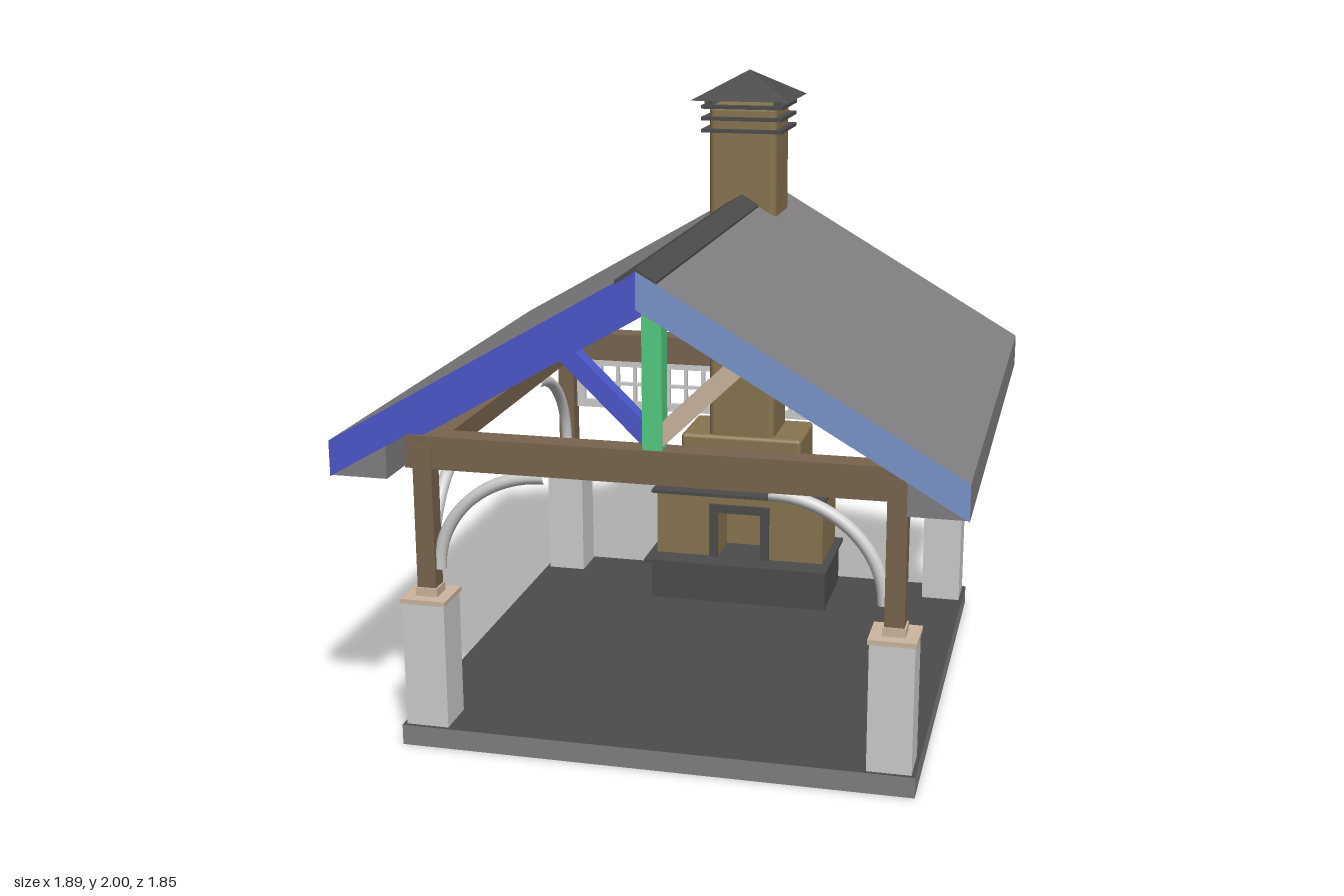
import * as THREE from 'three';
import { RoundedBoxGeometry } from 'three/addons/geometries/RoundedBoxGeometry.js';

const mat = (name, color, side = THREE.FrontSide) => {
  const m = new THREE.MeshStandardMaterial({ color, side });
  m.name = name;
  return m;
};

export function createModel() {
  const roofGrey = mat('roof grey', 0x827f82);
  const dark = mat('dark slate', 0x4c4c4c);
  const stone = mat('tan stone', 0x88754f);
  const wood = mat('brown timber', 0x79654f);
  const white = mat('pale grey', 0xcecece);
  const tan = mat('light tan', 0xccb6a0);
  const green = mat('green', 0x55cc82);
  const blue = mat('deep blue', 0x4c57cc);
  const paleBlue = mat('pale blue', 0x7a95cc);

  const model = new THREE.Group();
  model.name = 'pavilion';

  const add = (name, geo, material, x = 0, y = 0, z = 0, parent = model) => {
    const mesh = new THREE.Mesh(geo, material);
    mesh.name = name;
    mesh.position.set(x, y, z);
    parent.add(mesh);
    return mesh;
  };
  // Box given by its extents along each axis
  const box = (name, material, x0, x1, y0, y1, z0, z1, parent = model, radius = 0) => {
    const size = [x1 - x0, y1 - y0, z1 - z0];
    const geo = radius ? new RoundedBoxGeometry(...size, 3, radius) : new THREE.BoxGeometry(...size);
    return add(name, geo, material, (x0 + x1) / 2, (y0 + y1) / 2, (z0 + z1) / 2, parent);
  };
  // Outline in x, y extruded between two z values
  const prism = (name, material, points, z0, z1, parent = model) => {
    const shape = new THREE.Shape(points.map(([x, y]) => new THREE.Vector2(x, y)));
    const geo = new THREE.ExtrudeGeometry(shape, { depth: z1 - z0, bevelEnabled: false });
    return add(name, geo, material, 0, 0, z0, parent);
  };

  // Floor slab with dark paving and lighter edges
  box('floorSlab', [roofGrey, roofGrey, dark, dark, roofGrey, roofGrey], -0.805, 0.805, 0, 0.066, -0.805, 0.805);

  // Four pedestals with caps and timber posts
  const C = 0.725;
  for (const sx of [-1, 1]) for (const sz of [-1, 1]) {
    const g = new THREE.Group();
    g.name = 'cornerPost';
    g.position.set(sx * C, 0, sz * C);
    model.add(g);
    const square = (name, m, half, y0, y1) => box(name, m, -half, half, y0, y1, -half, half, g);
    square('pedestal', white, 0.068, 0.066, 0.47);
    square('pedestalCap', tan, 0.073, 0.47, 0.485);
    square('postFoot', tan, 0.035, 0.485, 0.512);
    square('post', wood, 0.03, 0.512, 0.92);
  }

  // Curved braces on the sides and the front
  const arcPoints = [];
  for (let i = 0; i <= 12; i++) {
    const a = (i / 12) * Math.PI / 2;
    arcPoints.push(new THREE.Vector3(-0.345 * (1 - Math.cos(a)), 0.57 + 0.315 * Math.sin(a), 0));
  }
  const braceGeo = new THREE.TubeGeometry(new THREE.CatmullRomCurve3(arcPoints), 24, 0.02, 10);
  for (const s of [-1, 1]) {
    add('frontBrace', braceGeo, white, s * 0.69, 0, C).rotation.y = s > 0 ? 0 : Math.PI;
    for (const t of [-1, 1]) {
      add('sideBrace', braceGeo, white, s * C, 0, t * 0.69).rotation.y = -t * Math.PI / 2;
    }
    // Beams along the eaves
    box('eaveBeam', wood, s * C - 0.035, s * C + 0.035, 0.905, 0.97, -0.77, 0.77);
  }

  // Roof halves, eave boxes and ridge cap
  const slope = 0.55 / 0.945;
  const roofY = (x) => 1.57 - slope * Math.abs(x);
  const halfZ = 0.927;
  for (const s of [-1, 1]) {
    const edge = s > 0 ? paleBlue : blue;
    prism(s > 0 ? 'leftRoof' : 'rightRoof', [edge, roofGrey], [
      [0, 1.57], [s * 0.945, 1.02], [s * 0.945, 0.91], [0, 1.46],
    ], -halfZ, halfZ);
    prism('eaveBox', roofGrey, [
      [s * 0.944, 0.91], [s * 0.77, 0.91], [s * 0.77, roofY(0.77) - 0.11],
    ], -halfZ + 0.012, halfZ - 0.012);
  }
  prism('ridgeCap', dark, [
    [0, 1.577], [0.06, 1.542], [0.06, 1.53], [0, 1.565], [-0.06, 1.53], [-0.06, 1.542],
  ], -halfZ, halfZ);

  // Front and back trusses
  for (const z of [-C, C]) {
    const g = new THREE.Group();
    g.name = z > 0 ? 'frontTruss' : 'backTruss';
    model.add(g);
    box('tieBeam', wood, -0.775, 0.775, 0.9, 1.003, z - 0.04, z + 0.04, g);
    box('kingPost', green, -0.03, 0.03, 1.003, 1.42, z - 0.032, z + 0.032, g);
    for (const s of [-1, 1]) {
      prism('rafter', s > 0 ? paleBlue : blue, [
        [0, 1.465], [s * 0.77, roofY(0.77) - 0.105], [s * 0.77, roofY(0.77) - 0.15], [0, 1.42],
      ], z - 0.03, z + 0.03, g);
      const strut = add('strut', new THREE.BoxGeometry(0.36, 0.055, 0.055), s > 0 ? tan : blue, s * 0.136, 1.155, z, g);
      strut.rotation.z = s * 0.77;
    }
  }

  // Lattice panel under the back beam
  const lattice = new THREE.Group();
  lattice.name = 'lattice';
  model.add(lattice);
  const lz0 = -0.755, lz1 = -0.738;
  box('bottomRail', white, -0.7, 0.7, 0.7, 0.73, lz0, lz1, lattice);
  box('topRail', white, -0.7, 0.7, 0.865, 0.902, lz0, lz1, lattice);
  box('middleRail', white, -0.67, 0.67, 0.792, 0.803, lz0, lz1, lattice);
  for (const s of [-1, 1]) box('stile', white, s * 0.682 - 0.018, s * 0.682 + 0.018, 0.73, 0.865, lz0, lz1, lattice);
  for (let i = 1; i < 20; i++) {
    const x = -0.667 + i * 0.0667;
    box('latticeBar', white, x - 0.006, x + 0.006, 0.73, 0.865, lz0, lz1, lattice);
  }

  // Fireplace: base, hearth, firebox, mantel and smoke chamber
  const fire = new THREE.Group();
  fire.name = 'fireplace';
  model.add(fire);
  box('fireplaceBase', dark, -0.325, 0.325, 0.066, 0.222, -0.76, -0.44, fire);
  box('hearth', dark, -0.338, 0.338, 0.222, 0.234, -0.775, -0.375, fire);
  prism('fireboxFront', stone, [
    [-0.31, 0.234], [-0.08, 0.234], [-0.08, 0.405], [0.08, 0.405],
    [0.08, 0.234], [0.31, 0.234], [0.31, 0.473], [-0.31, 0.473],
  ], -0.62, -0.47, fire);
  box('fireboxBack', stone, -0.31, 0.31, 0.234, 0.473, -0.755, -0.62, fire);
  prism('fireboxFrame', dark, [
    [-0.112, 0.234], [-0.08, 0.234], [-0.08, 0.405], [0.08, 0.405],
    [0.08, 0.234], [0.112, 0.234], [0.112, 0.436], [-0.112, 0.436],
  ], -0.475, -0.46, fire);
  box('mantel', dark, -0.322, 0.322, 0.473, 0.485, -0.775, -0.435, fire);
  box('smokeChamber', stone, -0.222, 0.222, 0.475, 0.693, -0.752, -0.483, fire, 0.015);

  // Chimney with bands and a pyramid cap on corner blocks
  const cz = -0.615;
  box('chimney', stone, -0.12, 0.12, 0.66, 1.887, cz - 0.122, cz + 0.122, fire, 0.022);
  for (const y of [1.798, 1.84, 1.88]) {
    box('chimneyBand', dark, -0.143, 0.143, y - 0.006, y + 0.006, cz - 0.143, cz + 0.143, fire);
  }
  for (const sx of [-1, 1]) for (const sz of [-1, 1]) {
    add('capBlock', new THREE.BoxGeometry(0.02, 0.022, 0.02), dark, sx * 0.122, 1.895, cz + sz * 0.122, fire);
  }
  const capGeo = new THREE.ConeGeometry(0.174 * Math.SQRT2, 0.096, 4, 1).toNonIndexed();
  capGeo.rotateY(Math.PI / 4);
  capGeo.computeVertexNormals();
  add('chimneyCap', capGeo, dark, 0, 1.952, cz, fire);

  return model;
}
